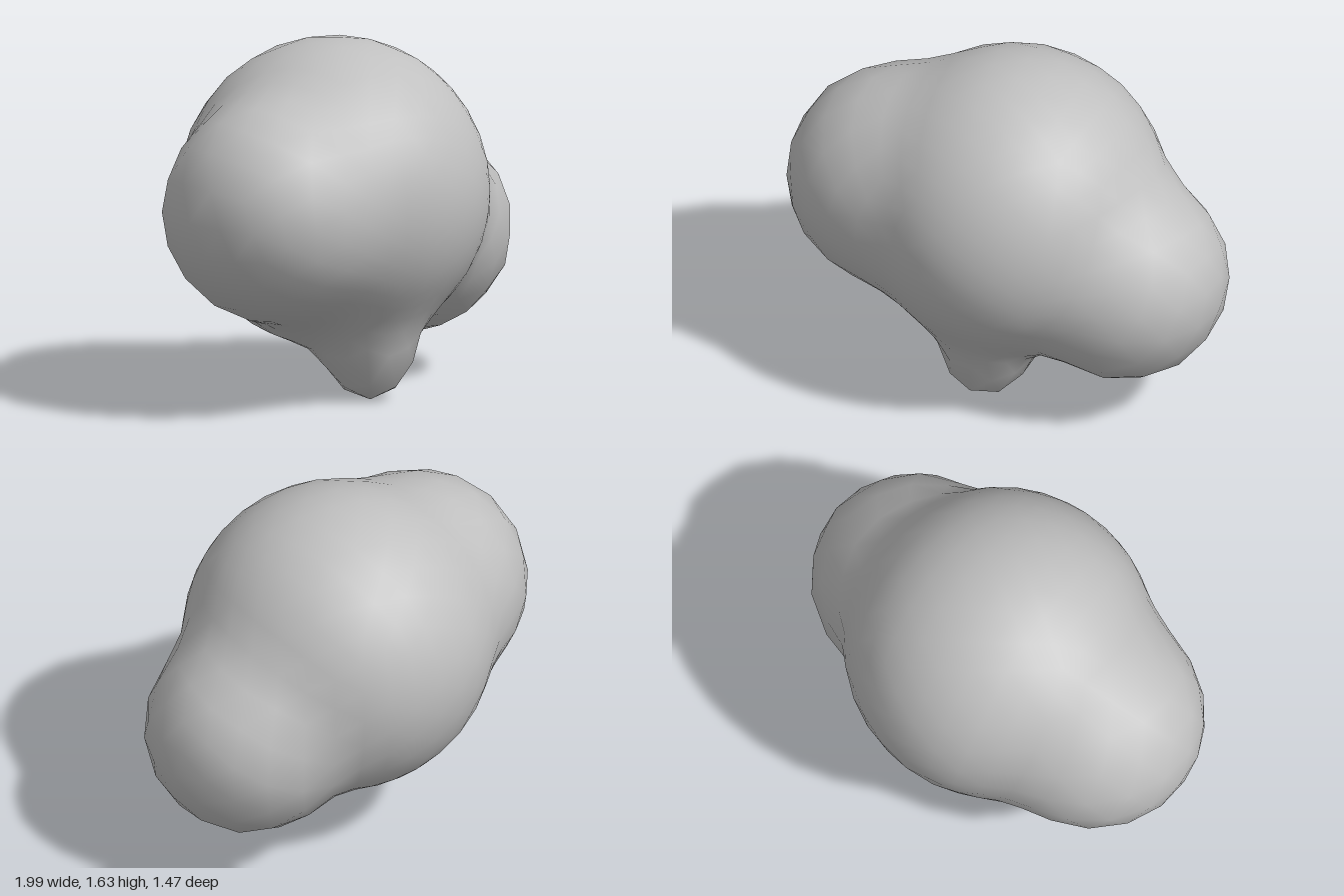
import * as THREE from 'three';
import { mergeVertices } from 'three/addons/utils/BufferGeometryUtils.js';

// Lobes of the crown: centre, radius, softness of the blend
const lobes = [
  { c: new THREE.Vector3(0, 0.93, -0.03), r: 0.71, k: 0 },
  { c: new THREE.Vector3(-0.49, 0.93, 0.23), r: 0.51, k: 0.14 },
  { c: new THREE.Vector3(0.52, 0.68, -0.23), r: 0.48, k: 0.12 },
];

// Short tapering stub underneath
const stubLow = new THREE.Vector3(0.05, 0.2, 0.19);
const stubHigh = new THREE.Vector3(0.04, 0.5, 0.16);
const stubAxis = stubHigh.clone().sub(stubLow);

function stubDistance(p) {
  const t = THREE.MathUtils.clamp(p.clone().sub(stubLow).dot(stubAxis) / stubAxis.lengthSq(), 0, 1);
  return p.distanceTo(stubLow.clone().addScaledVector(stubAxis, t)) - (0.2 + 0.06 * t);
}

function blend(a, b, k) {
  if (k === 0) return Math.min(a, b);
  const h = Math.max(k - Math.abs(a - b), 0) / k;
  return Math.min(a, b) - h * h * k * 0.25;
}

function surfaceDistance(p) {
  let d = Infinity;
  for (const { c, r, k } of lobes) d = blend(d, p.distanceTo(c) - r, d === Infinity ? 0 : k);
  return blend(d, stubDistance(p), 0.15);
}

// Shrink a sphere onto the blended lobes along rays to an inner point
function crownGeometry() {
  const origin = new THREE.Vector3(0.03, 0.78, 0.11);
  let geo = new THREE.IcosahedronGeometry(1, 6);
  geo.deleteAttribute('uv');
  geo.deleteAttribute('normal');
  geo = mergeVertices(geo, 1e-4);
  const pos = geo.attributes.position;
  const dir = new THREE.Vector3();
  const p = new THREE.Vector3();
  for (let i = 0; i < pos.count; i++) {
    dir.fromBufferAttribute(pos, i).normalize();
    let t = 1.8;
    for (let s = 0; s < 80; s++) {
      p.copy(origin).addScaledVector(dir, t);
      const d = surfaceDistance(p);
      if (d < 1e-4) break;
      t -= d * 0.9;
    }
    pos.setXYZ(i, p.x, p.y, p.z);
  }
  geo.computeVertexNormals();
  return geo;
}

export function createModel() {
  const grey = new THREE.MeshStandardMaterial({ color: 0xc0c0c0 });
  grey.name = 'light grey';
  const crown = new THREE.Mesh(crownGeometry(), grey);
  crown.name = 'lobedCrown';
  const group = new THREE.Group();
  group.name = 'lobedBlob';
  group.add(crown);
  return group;
}
